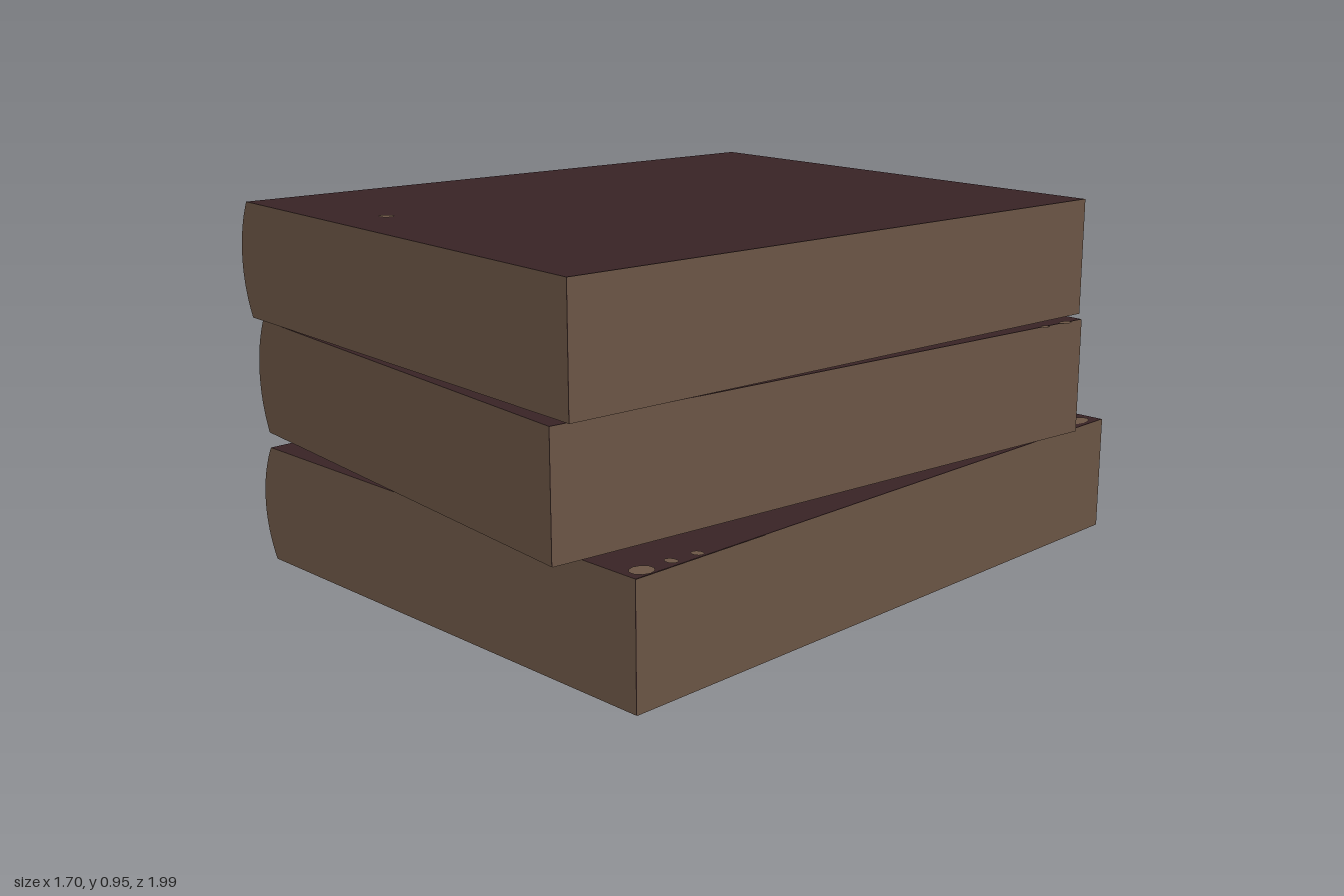
import * as THREE from 'three';
import { toCreasedNormals } from 'three/addons/utils/BufferGeometryUtils.js';

const cover = new THREE.MeshStandardMaterial({ color: 0x382325 });
cover.name = 'dark cover';
const pages = new THREE.MeshStandardMaterial({ color: 0x6b5545 });
pages.name = 'aged pages';

const H = 0.311; // book thickness
const BULGE = 0.042; // how far the spine rounds out
const R = ((H / 2) ** 2 + BULGE ** 2) / (2 * BULGE);

// Position, angle and size of each book; worn spots on the cover as
// [x, z, radius, stretch] and on the spine as [fraction from back, height, radius]
const books = [
  {
    name: 'bottomBook', x: 0, y: 0, z: 0, angle: 0.147, w: 1.447, d: 1.8,
    spots: [[0.56, -0.92, 0.027, 1.7], [0.49, -0.92, 0.012, 1], [0.815, 0.745, 0.028, 1.1],
      [0.805, 0.66, 0.018, 0.8], [0.8, 0.585, 0.016, 0.9]],
    spineSpots: [[0.45, 0.285, 0.012], [0.7, 0.265, 0.02], [0.76, 0.255, 0.018]],
  },
  {
    name: 'middleBook', x: -0.022, y: 0.321, z: 0.067, angle: 0.033, w: 1.397, d: 1.715,
    spots: [[0.657, -0.74, 0.014, 1.5], [0.66, -0.66, 0.012, 1]],
    spineSpots: [[0.02, 0.285, 0.014], [0.07, 0.27, 0.016], [0.1, 0.1, 0.014],
      [0.31, 0.265, 0.012], [0.75, 0.29, 0.016], [0.84, 0.285, 0.016]],
  },
  {
    name: 'topBook', x: -0.05, y: 0.638, z: 0.0625, angle: 0.068, w: 1.39, d: 1.714,
    spots: [[-0.215, 0.79, 0.022, 0.9]],
    spineSpots: [],
  },
];
books[2].w = 1.448;

function makeBook({ name, x, y, z, angle, w, d, spots, spineSpots }) {
  const book = new THREE.Group();
  book.name = name;
  book.position.set(x, y, z);
  book.rotation.y = angle;

  // End profile: square fore-edge, rounded spine
  const half = Math.asin(H / 2 / R);
  const cx = -w / 2 + R;
  const profile = new THREE.Shape();
  profile.moveTo(-w / 2 + BULGE, 0);
  profile.lineTo(w / 2, 0);
  profile.lineTo(w / 2, H);
  profile.lineTo(-w / 2 + BULGE, H);
  profile.absarc(cx, H / 2, R, Math.PI - half, Math.PI + half, false);
  const geo = new THREE.ExtrudeGeometry(profile, { depth: d, bevelEnabled: false, curveSegments: 16 });
  geo.translate(0, 0, -d / 2);
  const block = new THREE.Mesh(toCreasedNormals(geo, 0.5), [pages, cover]);
  block.name = 'coverAndPageEnds';
  book.add(block);

  // Page edges on the opening side
  const foreEdge = new THREE.Mesh(new THREE.PlaneGeometry(d, H), pages);
  foreEdge.name = 'foreEdge';
  foreEdge.rotation.y = Math.PI / 2;
  foreEdge.position.set(w / 2 + 0.002, H / 2, 0);
  book.add(foreEdge);

  // Worn spots on the top cover
  book.updateMatrixWorld(true);
  for (const [sx, sz, r, stretch] of spots) {
    const spot = new THREE.Mesh(new THREE.CircleGeometry(r, 10), pages);
    spot.name = 'wornCoverSpot';
    spot.position.copy(book.worldToLocal(new THREE.Vector3(sx, y + H + 0.002, sz)));
    spot.rotation.x = -Math.PI / 2;
    spot.scale.y = stretch;
    book.add(spot);
  }

  // Worn spots lying on the curve of the spine
  for (const [t, h, r] of spineSpots) {
    const a = Math.asin((h - H / 2) / R);
    const spot = new THREE.Mesh(new THREE.CircleGeometry(r, 10), pages);
    spot.name = 'wornSpineSpot';
    spot.position.set(cx - (R + 0.002) * Math.cos(a), H / 2 + (R + 0.002) * Math.sin(a), (t - 0.5) * (d - 0.05));
    spot.rotation.set(0, -Math.PI / 2, -a, 'ZYX');
    book.add(spot);
  }
  return book;
}

export function createModel() {
  const stack = new THREE.Group();
  stack.name = 'bookStack';
  for (const b of books) stack.add(makeBook(b));
  return stack;
}
